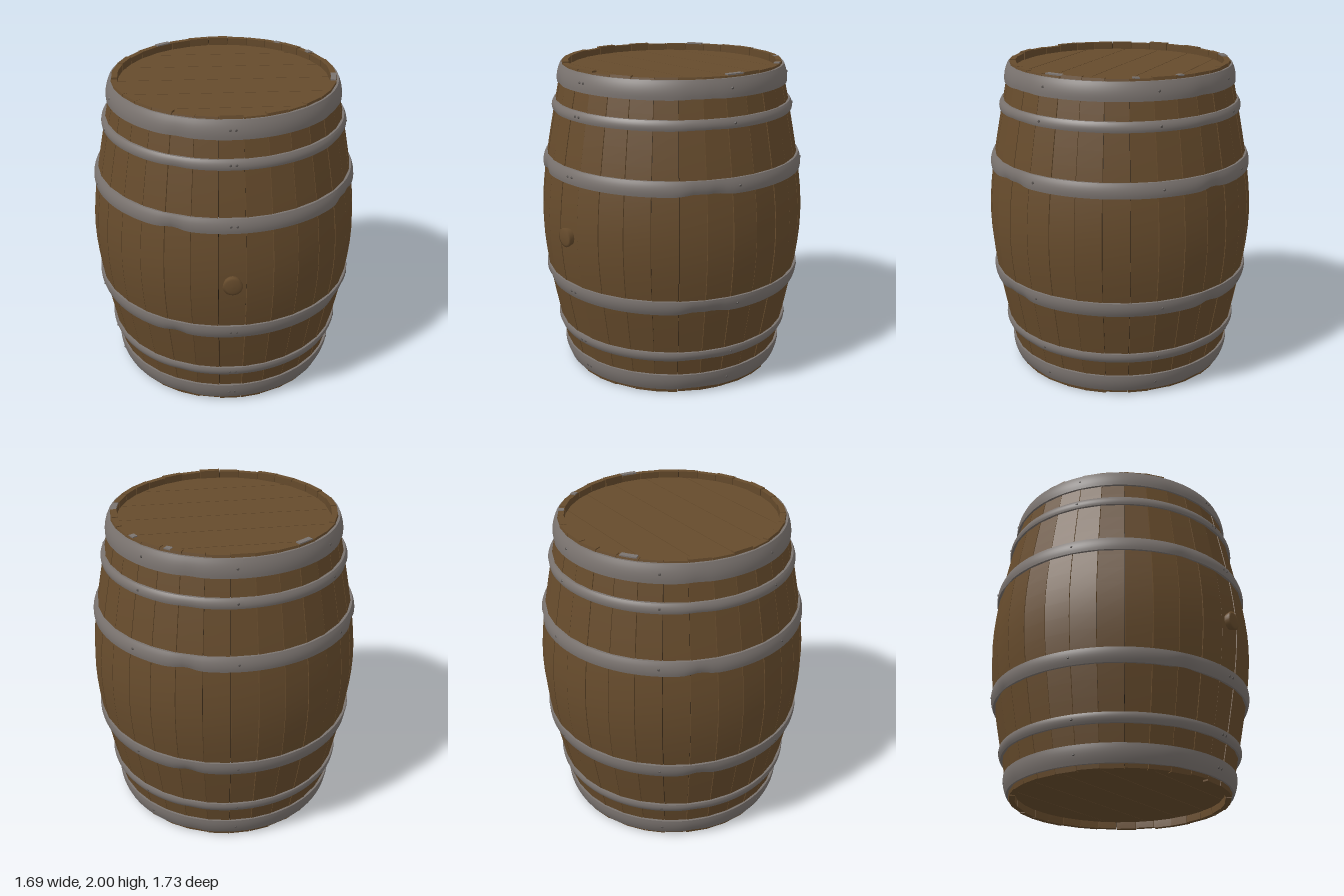
import * as THREE from 'three';

const wood = new THREE.MeshStandardMaterial({ color: 0x664b2c });
wood.name = 'oak wood';
const metal = new THREE.MeshStandardMaterial({ color: 0x7a736f });
metal.name = 'hoop iron';
const dark = new THREE.MeshStandardMaterial({ color: 0x1e160d, side: THREE.DoubleSide });
dark.name = 'seam shadow';
const rivetIron = new THREE.MeshStandardMaterial({ color: 0x57524f });
rivetIron.name = 'rivet iron';

const STAVES = 32;
const STEP = (Math.PI * 2) / STAVES;

// outer radius of the barrel at height y (bulged, straighter toward the ends)
const radiusAt = (y) => 0.85 - 0.2256 * (Math.hypot(y - 1, 0.35) - 0.35);

// small repeatable variation in -1..1
const vary = (n) => {
  const s = Math.sin(n * 127.1 + 31.7) * 43758.5453;
  return (s - Math.floor(s)) * 2 - 1;
};

// bends a unit box around the y axis; rule(u, v, w) gives [angle, y, radius]
function bentBox(wSeg, hSeg, rule) {
  const geo = new THREE.BoxGeometry(1, 1, 1, wSeg, hSeg, 1);
  const p = geo.attributes.position;
  for (let i = 0; i < p.count; i++) {
    const [a, y, r] = rule(p.getX(i) + 0.5, p.getY(i) + 0.5, p.getZ(i) + 0.5);
    p.setXYZ(i, Math.sin(a) * r, y, Math.cos(a) * r);
  }
  geo.computeVertexNormals();
  return geo;
}

function add(parent, name, geo, mat) {
  const mesh = new THREE.Mesh(geo, mat);
  mesh.name = name;
  parent.add(mesh);
  return mesh;
}

function addGroup(parent, name) {
  const g = new THREE.Group();
  g.name = name;
  parent.add(g);
  return g;
}

// curved staves with narrow gaps, chamfered inside at both ends
function buildStaves(parent) {
  const g = addGroup(parent, 'staves');
  for (let i = 0; i < STAVES; i++) {
    const out = vary(i) * 0.002;
    const top = i % 8 === 0 ? 2 : 1.995 + vary(i + 40) * 0.005;
    const bottom = i % 8 === 0 ? 0 : 0.005 + vary(i + 80) * 0.005;
    const geo = bentBox(1, 20, (u, v, w) => {
      const y = bottom + v * (top - bottom);
      const end = v < 0.01 || v > 0.99;
      const thickness = end ? 0.036 : 0.055;
      const r = radiusAt(y) + out - (1 - w) * thickness;
      return [i * STEP + (u - 0.5) * (STEP - 0.005), y, r];
    });
    add(g, 'stave', geo, wood);
  }
  // dark lining seen through the gaps
  const pts = [];
  for (let k = 0; k <= 20; k++) {
    const y = 0.02 + k * 0.098;
    pts.push(new THREE.Vector2(radiusAt(y) - 0.02, y));
  }
  add(g, 'seamLining', new THREE.LatheGeometry(pts, 64), dark);
}

// round end made of parallel planks; y is its top face
function buildHead(parent, name, y) {
  const g = addGroup(parent, name);
  const R = 0.66, gap = 0.002, N = 16;
  const cuts = [-R, -0.465, -0.235, -0.005, 0.225, 0.455, R];
  for (let k = 0; k < cuts.length - 1; k++) {
    const z0 = cuts[k] + (k > 0 ? gap : 0);
    const z1 = cuts[k + 1] - (k < cuts.length - 2 ? gap : 0);
    const side = [];
    for (let j = 0; j <= N; j++) {
      const z = z0 + ((z1 - z0) * j) / N;
      side.push(new THREE.Vector2(Math.sqrt(Math.max(0, R * R - z * z)) + 0.0005, z));
    }
    const mirrored = side.map((q) => new THREE.Vector2(-q.x, q.y)).reverse();
    const geo = new THREE.ExtrudeGeometry(new THREE.Shape([...side, ...mirrored]), {
      depth: 0.03, bevelEnabled: false,
    });
    geo.rotateX(Math.PI / 2).translate(0, y, 0);
    add(g, 'headPlank', geo, wood);
  }
}

// iron hoops: [bottom, top, dent depth]
const HOOPS = [
  [0.03, 0.14, 0.004], [0.25, 0.31, 0.003], [0.59, 0.68, 0.012],
  [1.33, 1.42, 0.012], [1.7, 1.76, 0.003], [1.87, 1.98, 0.004],
];
const DENTS = [-0.43, 1.15, 2.72, 4.29, 1.0];
const RIVETS = [-0.01, 0.035, 1.33, 2.3, 3.1, 4.0, 5.0];

function buildHoops(parent) {
  const g = addGroup(parent, 'hoops');
  const round = (v) => 0.008 * (1 - (2 * v - 1) ** 2);
  HOOPS.forEach(([y0, y1, depth]) => {
    const geo = bentBox(128, 6, (u, v, w) => {
      const a = u * Math.PI * 2 + Math.PI;
      let dent = 0;
      for (const d of DENTS) {
        const off = Math.atan2(Math.sin(a - d), Math.cos(a - d));
        dent += Math.exp(-((off / 0.08) ** 2));
      }
      const y = y0 + v * (y1 - y0) + dent * depth * (1 - v) * 0.9;
      const r = radiusAt(y) + (w > 0.5 ? 0.011 + round(v) - dent * depth * (1 - v) : -0.012);
      return [a, y, r];
    });
    add(g, 'hoop', geo, metal);

    const y = (y0 + y1) / 2;
    for (const a of RIVETS) {
      const rivet = add(g, 'rivet', new THREE.CylinderGeometry(0.006, 0.009, 0.006, 8), rivetIron);
      const r = radiusAt(y) + 0.02;
      rivet.position.set(Math.sin(a) * r, y, Math.cos(a) * r);
      rivet.rotation.set(Math.PI / 2, 0, -a);
    }
  });
}

// worn patches on the upper rim: [angle, angular width]
function buildRimChips(parent) {
  for (const [a, width] of [[-2.55, 0.15], [2.52, 0.06], [2.12, 0.06], [1.4, 0.17]]) {
    const geo = bentBox(3, 1, (u, v, w) => [a + (u - 0.5) * width, 1.992 + v * 0.008, 0.655 + w * 0.034]);
    add(parent, 'rimChip', geo, metal);
  }
}

// tapered stopper with a slightly domed face
function buildBung(parent) {
  const pts = [[0.048, 0], [0.06, 0.05], [0.045, 0.054], [0.024, 0.057], [0, 0.058]]
    .map(([x, y]) => new THREE.Vector2(x, y));
  const geo = new THREE.LatheGeometry(pts, 24);
  const bung = add(parent, 'bung', geo, wood);
  bung.rotation.x = Math.PI / 2;
  bung.position.set(0, 1, 0.827);
}

export function createModel() {
  const model = new THREE.Group();
  model.name = 'barrel';
  const body = addGroup(model, 'barrelBody');
  body.position.z = -0.015;
  buildStaves(body);
  buildHead(body, 'topHead', 1.95);
  buildHead(body, 'bottomHead', 0.08);
  buildHoops(body);
  buildRimChips(body);
  buildBung(body);
  return model;
}
